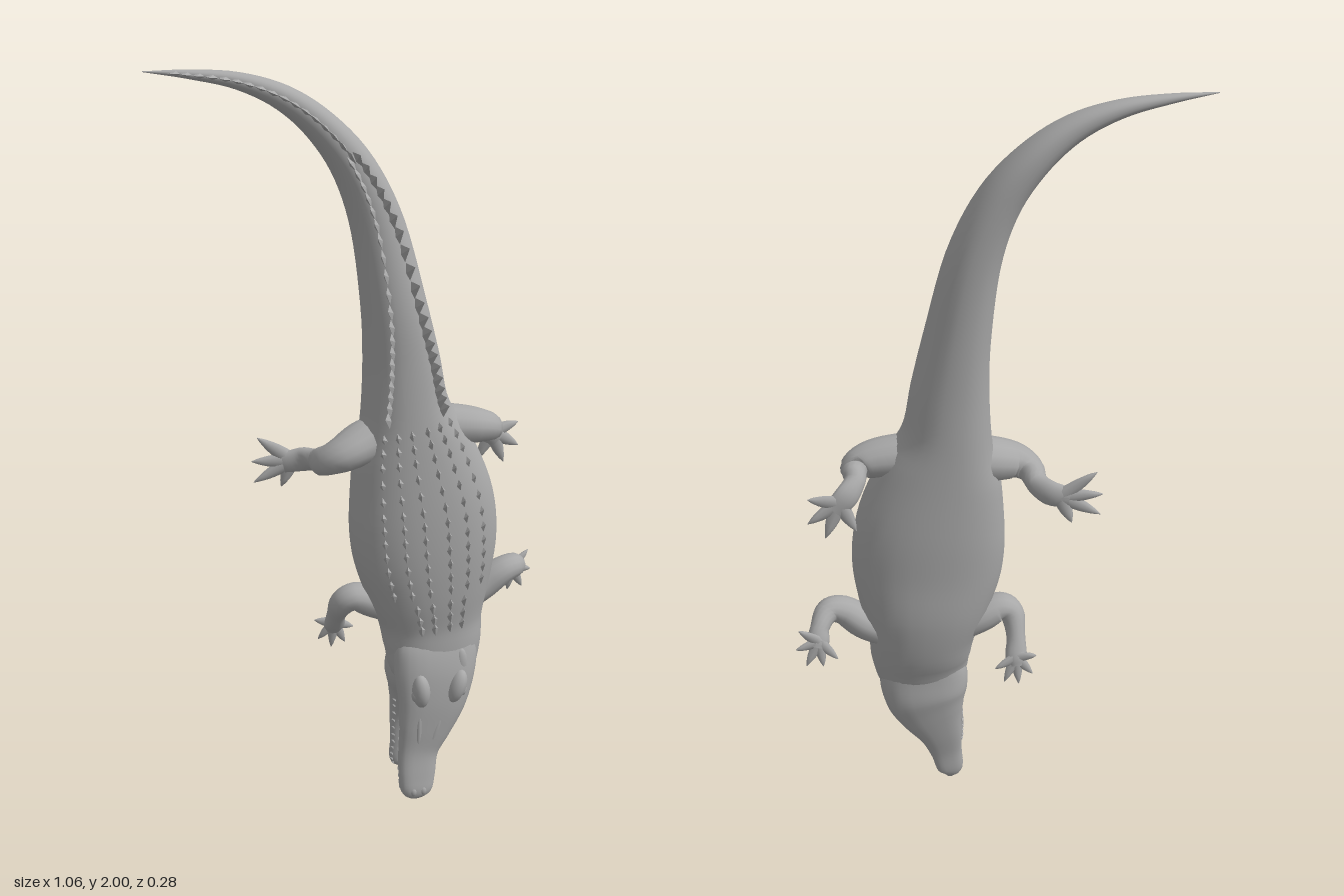
import * as THREE from 'three';
import { mergeGeometries } from 'three/addons/utils/BufferGeometryUtils.js';

const Z = new THREE.Vector3(0, 0, 1);

// Smooth loft through sections [x, y, z, halfWidth, halfDepth]
function loft(sections, steps, sides, power = 1) {
  const path = new THREE.CatmullRomCurve3(sections.map(s => new THREE.Vector3(s[0], s[1], s[2])), false, 'catmullrom');
  const size = new THREE.CatmullRomCurve3(sections.map(s => new THREE.Vector3(s[3], s[4], 0)), false, 'catmullrom');
  const pow = v => Math.sign(v) * Math.pow(Math.abs(v), power);
  const at = (u, a) => {
    const p = path.getPoint(u), t = path.getTangent(u), r = size.getPoint(u);
    const w = Math.max(r.x, 0.001), d = Math.max(r.y, 0.001);
    const side = t.clone().cross(Z).normalize(), up = side.clone().cross(t);
    const point = p.addScaledVector(side, pow(Math.cos(a)) * w).addScaledVector(up, pow(Math.sin(a)) * d);
    const normal = side.multiplyScalar(Math.cos(a) / w).addScaledVector(up, Math.sin(a) / d).normalize();
    return { point, normal, tangent: t };
  };
  const pos = [], index = [];
  for (let i = 0; i <= steps; i++)
    for (let j = 0; j < sides; j++) pos.push(...at(i / steps, j / sides * Math.PI * 2).point.toArray());
  for (let i = 0; i < steps; i++)
    for (let j = 0; j < sides; j++) {
      const a = i * sides + j, b = i * sides + (j + 1) % sides, c = a + sides, d = b + sides;
      index.push(a, c, b, b, c, d);
    }
  const geometry = new THREE.BufferGeometry();
  geometry.setAttribute('position', new THREE.Float32BufferAttribute(pos, 3));
  geometry.setIndex(index);
  geometry.computeVertexNormals();
  return { geometry, at };
}

// Four-sided scale leaning along the tangent
function spike({ point, normal, tangent }, width, height, length, lean = 0.5) {
  const g = new THREE.ConeGeometry(1, 1, 4).toNonIndexed();
  g.translate(0, 0.3, 0);
  const p = g.attributes.position;
  for (let i = 0; i < p.count; i++) p.setZ(i, p.getZ(i) + p.getY(i) * lean);
  const side = normal.clone().cross(tangent).normalize();
  const along = side.clone().cross(normal);
  g.scale(width, height, length);
  g.applyMatrix4(new THREE.Matrix4().makeBasis(side, normal, along).setPosition(point));
  g.computeVertexNormals();
  return g;
}

export function createModel() {
  const model = new THREE.Group();
  model.name = 'crocodile';
  const hide = new THREE.MeshStandardMaterial({ color: 0xa8a8a8 });
  hide.name = 'grey hide';
  const add = (name, geometry, parent = model) => {
    const mesh = new THREE.Mesh(geometry, hide);
    mesh.name = name;
    parent.add(mesh);
    return mesh;
  };

  // Body and curved tail
  const spine = [
    [0.17, 0.27, 0.01, 0.03, 0.02], [0.178, 0.34, 0.015, 0.112, 0.08],
    [0.188, 0.42, 0.005, 0.136, 0.097], [0.186, 0.5, -0.008, 0.146, 0.108],
    [0.177, 0.6, -0.01, 0.176, 0.12], [0.166, 0.72, -0.007, 0.202, 0.123],
    [0.155, 0.85, -0.01, 0.2, 0.123], [0.13, 1.0, -0.015, 0.165, 0.116],
    [0.11, 1.12, -0.02, 0.118, 0.11], [0.10, 1.25, -0.025, 0.1, 0.105],
    [0.08, 1.4, -0.032, 0.083, 0.1], [0.043, 1.6, -0.05, 0.068, 0.083],
    [-0.015, 1.745, -0.06, 0.055, 0.072], [-0.095, 1.85, -0.07, 0.043, 0.06],
    [-0.19, 1.924, -0.075, 0.032, 0.045], [-0.3, 1.968, -0.08, 0.021, 0.03],
    [-0.42, 1.988, -0.08, 0.011, 0.016], [-0.53, 1.998, -0.08, 0.001, 0.001]];
  const body = loft(spine, 85, 28, 0.9);
  add('bodyAndTail', body.geometry);
  const on = (k, offset) => body.at(k / (spine.length - 1), Math.PI / 2 - offset);

  // Rows of back and neck scales
  const back = [], neck = [], crest = [];
  for (let row = 0; row < 12; row++)
    for (const o of [0.13, 0.4, 0.7])
      for (const s of [-1, 1]) back.push(spike(on(4.3 + row * 0.3, o * s), 0.01, 0.012, 0.019));
  for (let row = 0; row < 3; row++)
    for (const o of [0.12, 0.36])
      for (const s of [-1, 1]) neck.push(spike(on(3.1 + row * 0.38, o * s), 0.011, 0.013, 0.02));
  add('backScales', mergeGeometries(back));
  add('neckScales', mergeGeometries(neck));

  // Twin tail crests merging into a single one
  for (let i = 0; i < 20; i++) {
    const v = i / 19;
    for (const s of [-1, 1])
      crest.push(spike(on(8 + v * 4.2, s * (0.62 - 0.47 * v)), 0.008, 0.034 + 0.008 * v, 0.029, 0.6));
  }
  for (let i = 0; i < 17; i++) {
    const v = i / 16;
    crest.push(spike(on(12.3 + v * 4, 0), 0.007, 0.04 - 0.024 * v, 0.028 - 0.008 * v, 0.6));
  }
  add('tailCrest', mergeGeometries(crest));

  // Head with open jaws
  const head = new THREE.Group();
  head.name = 'head';
  model.add(head);
  const upper = loft([
    [0.108, 0.003, 0.115, 0.012, 0.01], [0.108, 0.025, 0.117, 0.043, 0.024],
    [0.112, 0.07, 0.11, 0.052, 0.025], [0.12, 0.14, 0.097, 0.058, 0.027],
    [0.14, 0.21, 0.094, 0.077, 0.032], [0.163, 0.29, 0.083, 0.1, 0.044],
    [0.176, 0.37, 0.063, 0.116, 0.056], [0.185, 0.44, 0.04, 0.116, 0.057],
    [0.185, 0.52, 0.02, 0.08, 0.04]], 40, 24, 0.8);
  add('upperJaw', upper.geometry, head);
  const lower = loft([
    [0.115, 0.015, -0.037, 0.01, 0.008], [0.115, 0.04, -0.037, 0.036, 0.017],
    [0.125, 0.1, -0.035, 0.045, 0.02], [0.14, 0.17, -0.038, 0.062, 0.028],
    [0.163, 0.24, -0.032, 0.092, 0.046], [0.178, 0.3, -0.022, 0.116, 0.066],
    [0.184, 0.37, -0.015, 0.122, 0.068], [0.187, 0.45, -0.01, 0.1, 0.07]], 36, 24, 0.8);
  add('lowerJaw', lower.geometry, head);

  // Teeth along both jaws
  const teeth = [];
  for (const [jaw, dir] of [[upper, -1], [lower, 1]])
    for (let i = 0; i < 11; i++)
      for (const a of [0.5, Math.PI - 0.5]) {
        const spot = jaw.at(0.11 + i * 0.043, a * dir);
        spot.normal = new THREE.Vector3(0, 0, dir);
        teeth.push(spike(spot, 0.005, 0.016, 0.005, 0));
      }
  add('teeth', mergeGeometries(teeth), head);

  // Eyes, brow ridges and nostrils
  const bump = (name, x, y, z, sx, sy, sz, turn = 0) => {
    const mesh = add(name, new THREE.SphereGeometry(1, 14, 10), head);
    mesh.position.set(x, y, z);
    mesh.scale.set(sx, sy, sz);
    mesh.rotation.z = turn;
  };
  for (const s of [-1, 1]) {
    bump('eyeSocket', 0.172 + s * 0.052, 0.335, 0.112, 0.026, 0.05, 0.03, -s * 0.2 - 0.15);
    bump('eye', 0.172 + s * 0.066, 0.325, 0.113, 0.014, 0.02, 0.017);
    bump('skullRidge', 0.182 + s * 0.06, 0.39, 0.092, 0.02, 0.05, 0.016);
    bump('snoutRidge', 0.14 + s * 0.026, 0.22, 0.117, 0.01, 0.06, 0.01, -s * 0.15 - 0.2);
    bump('nostril', 0.109 + s * 0.014, 0.032, 0.135, 0.01, 0.014, 0.008);
  }

  // Legs: limb path, then webbed toes fanned from the palm
  const leg = (name, limb, palm, tips, toeSize) => {
    const group = new THREE.Group();
    group.name = name;
    model.add(group);
    add('limb', loft(limb, 30, 14).geometry, group);
    const start = new THREE.Vector3(...palm);
    for (const tip of tips) {
      const end = new THREE.Vector3(...tip, -0.12);
      const p = f => start.clone().lerp(end, f).toArray();
      add('toe', loft([[...p(0), toeSize * 1.3, toeSize * 0.8], [...p(0.5), toeSize, toeSize * 0.6],
        [...p(0.8), toeSize * 0.55, toeSize * 0.45], [...p(1), 0.001, 0.001]], 9, 8).geometry, group);
    }
  };
  leg('rightFrontLeg', [
    [0.09, 0.53, -0.03, 0.045, 0.05], [0.02, 0.56, -0.03, 0.045, 0.05],
    [-0.03, 0.58, -0.025, 0.038, 0.045], [-0.062, 0.56, -0.035, 0.034, 0.037],
    [-0.068, 0.51, -0.07, 0.026, 0.027], [-0.065, 0.465, -0.1, 0.03, 0.02],
    [-0.065, 0.44, -0.113, 0.02, 0.012]],
  [-0.064, 0.465, -0.108], [[-0.118, 0.475], [-0.108, 0.415], [-0.07, 0.385], [-0.03, 0.395], [-0.005, 0.44]], 0.013);
  leg('leftFrontLeg', [
    [0.28, 0.53, -0.03, 0.045, 0.05], [0.345, 0.565, -0.03, 0.045, 0.05],
    [0.4, 0.602, -0.022, 0.038, 0.043], [0.44, 0.608, -0.035, 0.034, 0.036],
    [0.463, 0.587, -0.075, 0.026, 0.027], [0.47, 0.56, -0.1, 0.03, 0.02],
    [0.475, 0.545, -0.113, 0.02, 0.012]],
  [0.468, 0.562, -0.108], [[0.52, 0.608], [0.53, 0.548], [0.505, 0.495], [0.46, 0.49], [0.42, 0.51]], 0.013);
  // Hind legs fold at the knee, the shin tucking back under the thigh
  leg('rightHindLeg', [
    [0.08, 1.045, -0.02, 0.06, 0.07], [0.0, 1.035, -0.01, 0.058, 0.07],
    [-0.07, 1.015, 0.01, 0.046, 0.06], [-0.11, 0.995, -0.01, 0.036, 0.045],
    [-0.122, 0.98, -0.06, 0.03, 0.03], [-0.15, 0.97, -0.098, 0.034, 0.022],
    [-0.2, 0.96, -0.112, 0.03, 0.013]],
  [-0.175, 0.965, -0.11], [[-0.268, 1.035], [-0.285, 0.97], [-0.28, 0.91], [-0.205, 0.89]], 0.017);
  leg('leftHindLeg', [
    [0.15, 1.06, -0.02, 0.06, 0.07], [0.225, 1.06, -0.012, 0.056, 0.068],
    [0.3, 1.053, -0.008, 0.048, 0.062], [0.347, 1.04, -0.022, 0.038, 0.046],
    [0.352, 1.025, -0.07, 0.028, 0.028], [0.375, 1.0, -0.102, 0.033, 0.02],
    [0.41, 0.965, -0.112, 0.03, 0.013]],
  [0.395, 0.985, -0.11], [[0.475, 1.005], [0.478, 0.935], [0.435, 0.89], [0.355, 0.905]], 0.017);

  return model;
}
